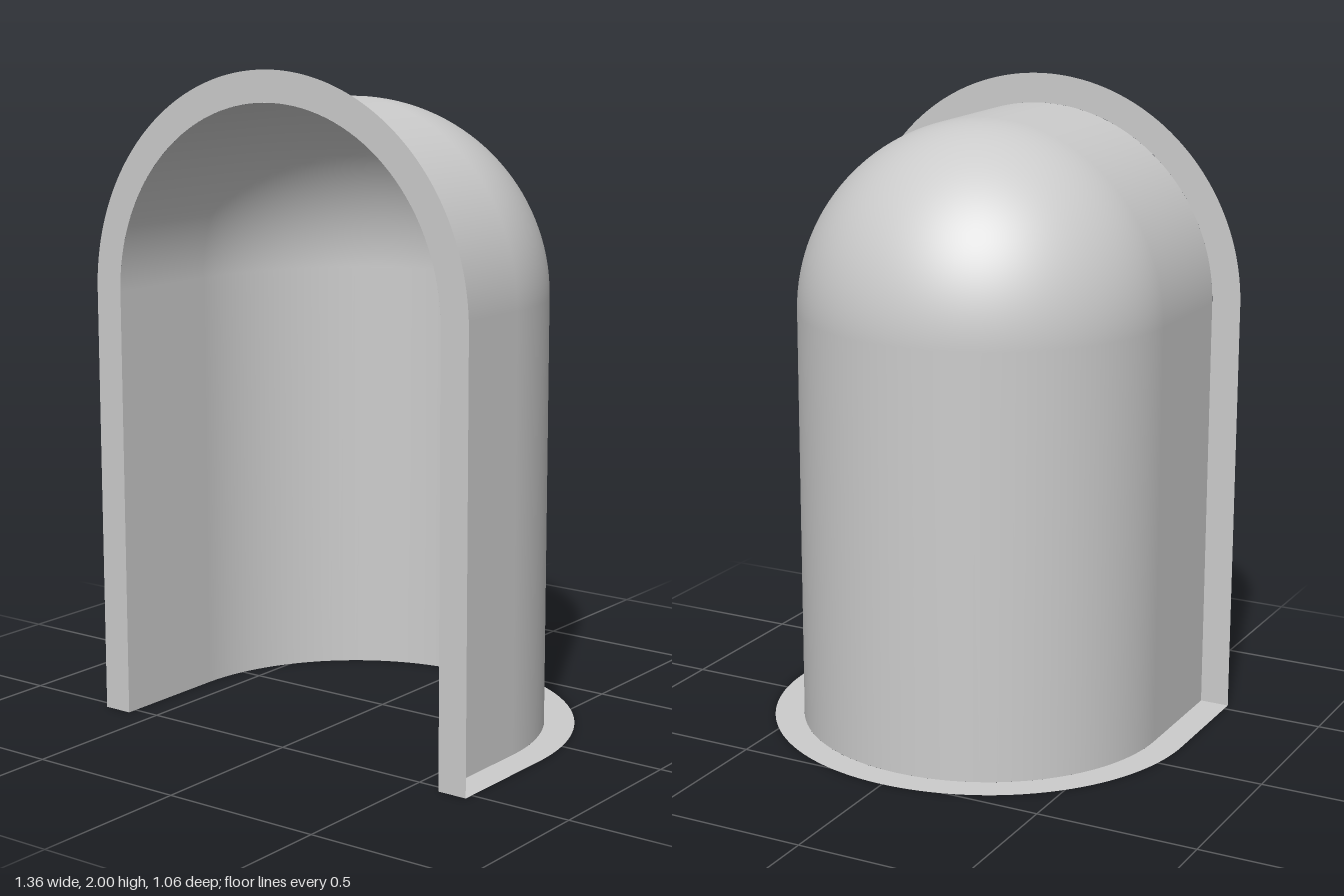
import * as THREE from 'three';

const INNER = 0.587, OUTER = 0.68; // radii of the niche and of its rims
const SPRING = 1.32;               // height where the vault begins
const FRONT = 0.53, CENTRE = 0.15; // z of the opening and of the apse axis
const DEPTH = FRONT - CENTRE;

const material = new THREE.MeshStandardMaterial({ color: 0xcccccc, side: THREE.DoubleSide });

// Flat U-shaped rim: two straight legs joined by a half ring
function rimGeometry(leg) {
  const s = new THREE.Shape();
  s.moveTo(OUTER, 0);
  s.lineTo(OUTER, leg);
  s.absarc(0, leg, OUTER, 0, Math.PI, false);
  s.lineTo(-OUTER, 0);
  s.lineTo(-INNER, 0);
  s.lineTo(-INNER, leg);
  s.absarc(0, leg, INNER, Math.PI, 0, true);
  s.lineTo(INNER, 0);
  return new THREE.ShapeGeometry(s, 64);
}

export function createModel() {
  const group = new THREE.Group();
  const add = (name, geometry, x = 0, y = 0, z = 0) => {
    const mesh = new THREE.Mesh(geometry, material);
    mesh.name = name;
    mesh.position.set(x, y, z);
    group.add(mesh);
  };

  // Rounded back wall running up into a quarter-sphere dome
  const profile = [new THREE.Vector2(INNER, 0)];
  for (let i = 0; i <= 32; i++) {
    const a = (i / 32) * Math.PI / 2;
    profile.push(new THREE.Vector2(INNER * Math.cos(a), SPRING + INNER * Math.sin(a)));
  }
  add('apseAndDome', new THREE.LatheGeometry(profile, 64, Math.PI / 2, Math.PI), 0, 0, CENTRE);

  // Barrel vault between the dome and the opening
  const vault = new THREE.CylinderGeometry(INNER, INNER, DEPTH, 64, 1, true, Math.PI / 2, Math.PI);
  add('barrelVault', vault.rotateX(Math.PI / 2), 0, SPRING, CENTRE + DEPTH / 2);

  // Straight side walls
  for (const side of [1, -1]) {
    const wall = new THREE.PlaneGeometry(DEPTH, SPRING).rotateY(side * Math.PI / 2);
    add(side > 0 ? 'leftWall' : 'rightWall', wall, side * INNER, SPRING / 2, CENTRE + DEPTH / 2);
  }

  // Flat rims around the opening and around the foot
  add('frontRim', rimGeometry(SPRING), 0, 0, FRONT);
  add('baseRim', rimGeometry(DEPTH).rotateX(-Math.PI / 2), 0, 0, FRONT);

  return group;
}
